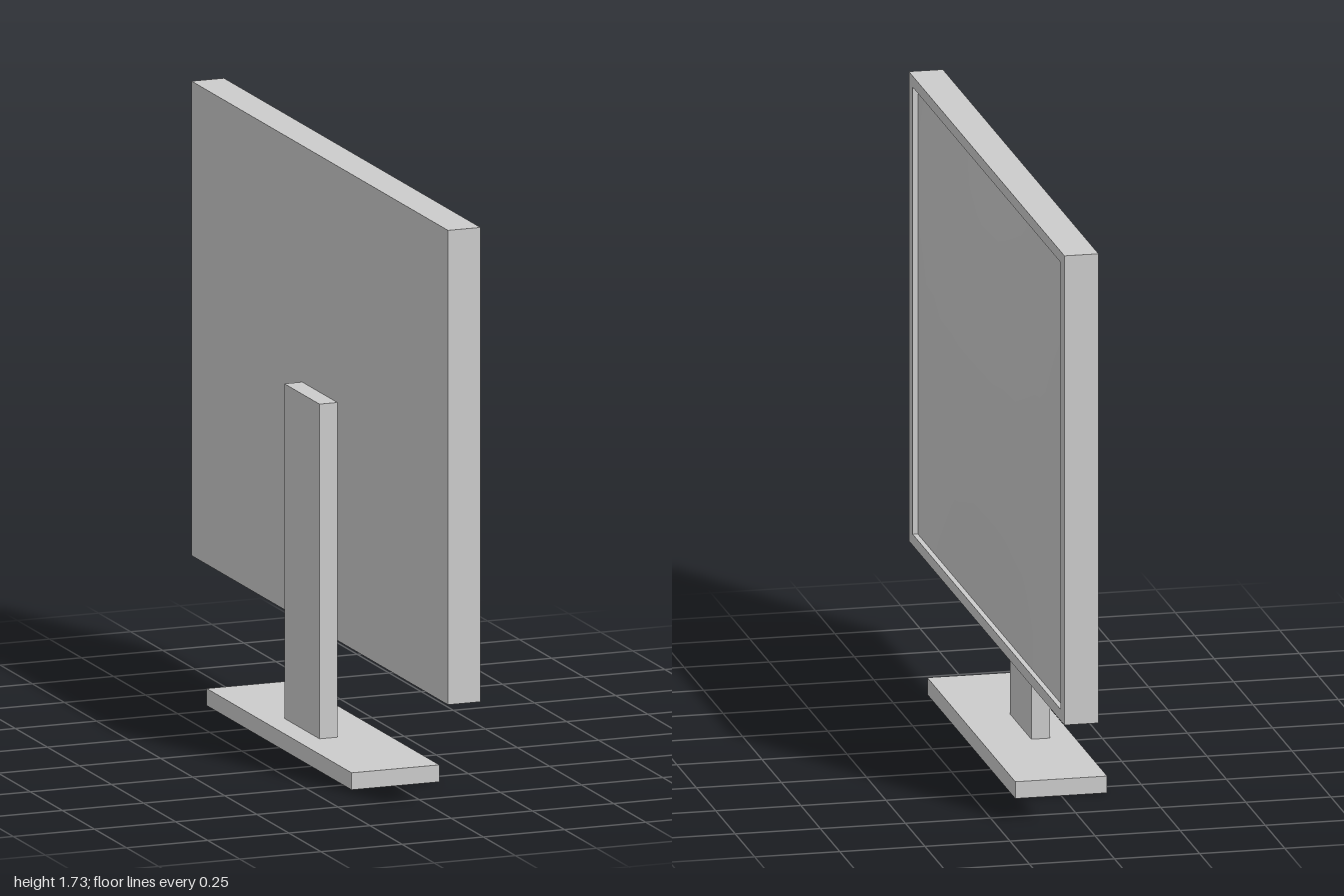
import * as THREE from 'three';

const grey = new THREE.MeshStandardMaterial({ color: 0xcccccc, flatShading: true });
const screenGrey = new THREE.MeshStandardMaterial({ color: 0xcccccc, side: THREE.DoubleSide });

// Box given by its minimum and maximum corners
function box(name, [x0, y0, z0], [x1, y1, z1]) {
  const mesh = new THREE.Mesh(new THREE.BoxGeometry(x1 - x0, y1 - y0, z1 - z0), grey);
  mesh.position.set((x0 + x1) / 2, (y0 + y1) / 2, (z0 + z1) / 2);
  mesh.name = name;
  return mesh;
}

// Rectangle corners centred on the origin
function rectangle(w, h) {
  return [[-w, -h], [w, -h], [w, h], [-w, h]].map(([x, y]) => new THREE.Vector2(x / 2, y / 2));
}

export function createModel() {
  const model = new THREE.Group();
  model.name = 'monitor';

  // Stand
  model.add(box('base', [-0.135, 0, -0.565], [0.135, 0.05, 0.565]));
  model.add(box('neck', [-0.065, 0.05, -0.137], [-0.01, 1.035, 0.137]));

  const midY = 1.033;
  const screenW = 1.9, screenH = 1.33;
  const backX = -0.01, recessX = 0.07, frontX = 0.09;

  // Housing: closed back body with a raised rim around the screen
  const housing = new THREE.Group();
  housing.name = 'housing';
  housing.add(box('housingBody', [backX, midY - 0.698, -1], [recessX, midY + 0.698, 1]));
  const rimShape = new THREE.Shape(rectangle(2, 1.396));
  rimShape.holes.push(new THREE.Path(rectangle(screenW, screenH).reverse()));
  const rim = new THREE.Mesh(
    new THREE.ExtrudeGeometry(rimShape, { depth: frontX - recessX, bevelEnabled: false }), grey);
  rim.name = 'bezel';
  rim.rotation.y = Math.PI / 2;
  rim.position.set(recessX, midY, 0);
  housing.add(rim);
  model.add(housing);

  // Screen: gently bulging panel, recessed at its edges
  const panel = new THREE.PlaneGeometry(screenW, screenH, 7, 6);
  const p = panel.attributes.position;
  for (let i = 0; i < p.count; i++) {
    const u = Math.abs(p.getX(i)) / (screenW / 2);
    const v = Math.abs(p.getY(i)) / (screenH / 2);
    p.setZ(i, 0.03 * (1 - u ** 2.2) * (1 - v ** 2.2));
  }
  panel.computeVertexNormals();
  const screen = new THREE.Mesh(panel, screenGrey);
  screen.name = 'screen';
  screen.rotation.y = Math.PI / 2;
  screen.position.set(0.075, midY, 0);
  model.add(screen);

  return model;
}
